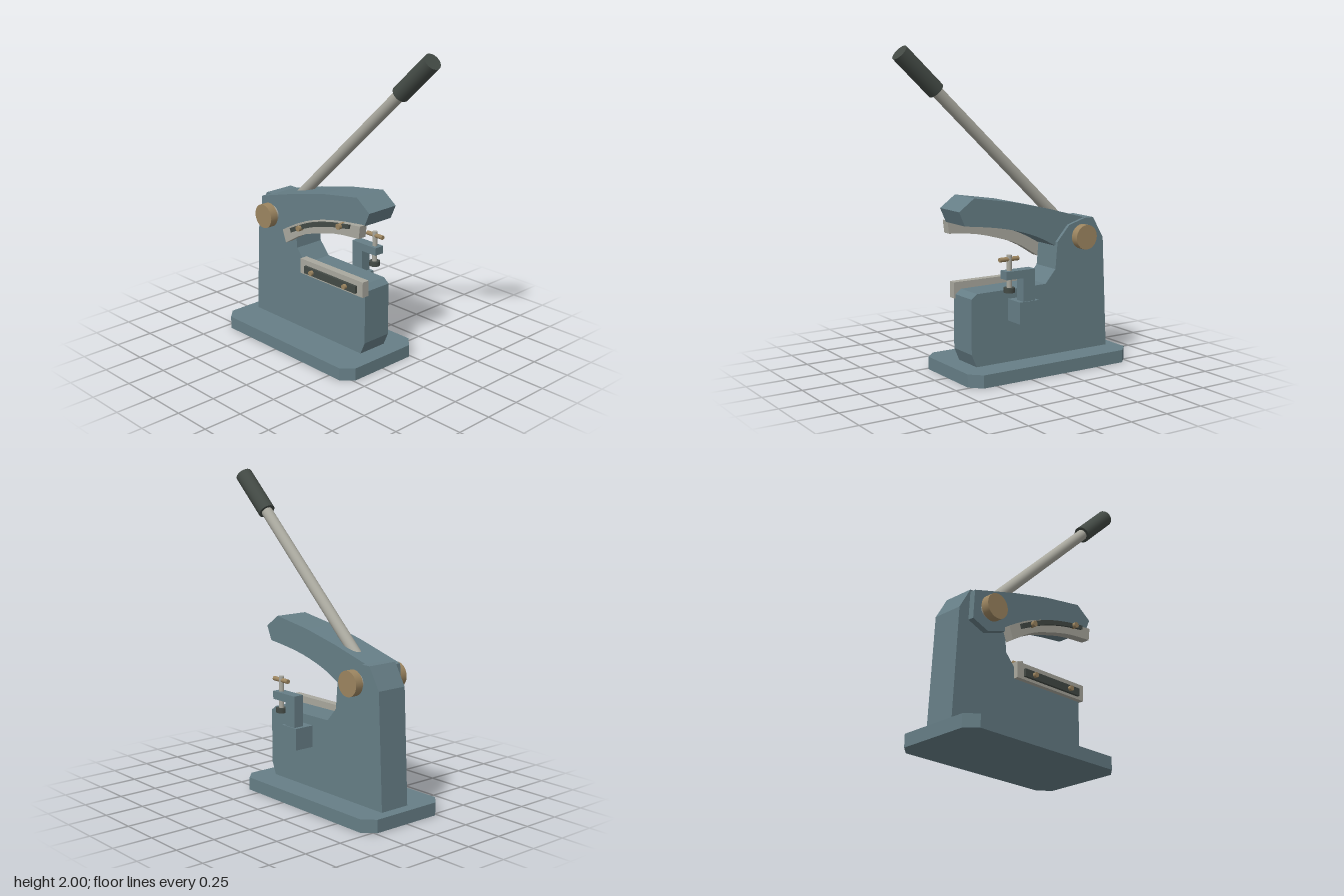
import * as THREE from 'three';

const mat = (color) => new THREE.MeshStandardMaterial({ color });
const paint = mat(0x667e86);
const steel = mat(0xa9a89e);
const brass = mat(0x9c8560);
const dark = mat(0x434a45);

export function createModel() {
  const model = new THREE.Group();

  const add = (name, geometry, material) => {
    const mesh = new THREE.Mesh(geometry, material);
    mesh.name = name;
    model.add(mesh);
    return mesh;
  };

  // Side profile in x, y pushed from z0 to z1
  const plate = (name, points, z0, z1, material) => {
    const shape = new THREE.Shape(points.map(([x, y]) => new THREE.Vector2(x, y)));
    const geometry = new THREE.ExtrudeGeometry(shape, { depth: z1 - z0, bevelEnabled: false });
    return add(name, geometry.translate(0, 0, z0), material);
  };

  const box = (name, x0, x1, y0, y1, z0, z1, material) => {
    const geometry = new THREE.BoxGeometry(x1 - x0, y1 - y0, z1 - z0);
    return add(name, geometry.translate((x0 + x1) / 2, (y0 + y1) / 2, (z0 + z1) / 2), material);
  };

  // Round bar between two points
  const bar = (name, a, b, radius, material, sides = 24) => {
    const from = new THREE.Vector3(...a);
    const to = new THREE.Vector3(...b);
    const dir = to.clone().sub(from);
    const mesh = add(name, new THREE.CylinderGeometry(radius, radius, dir.length(), sides), material);
    mesh.position.copy(from).add(to).multiplyScalar(0.5);
    mesh.quaternion.setFromUnitVectors(new THREE.Vector3(0, 1, 0), dir.normalize());
    return mesh;
  };

  // Base plate with cut corners
  const base = plate('basePlate', [
    [-0.70, -0.305], [0.34, -0.305], [0.41, -0.235], [0.41, 0.235],
    [0.34, 0.305], [-0.70, 0.305], [-0.77, 0.235], [-0.77, -0.235],
  ], 0, 0.08, paint);
  base.rotation.x = -Math.PI / 2;

  // Upright frame with the open throat
  plate('frame', [
    [-0.70, 0.08], [0.285, 0.08], [0.32, 0.16], [0.32, 0.50], [0.28, 0.53],
    [-0.22, 0.535], [-0.295, 0.62], [-0.31, 0.79], [-0.40, 0.89],
    [-0.52, 0.925], [-0.585, 0.925], [-0.665, 0.79],
  ], -0.135, 0.07, paint);

  // Curved edges shared by the arm, upper blade and its strip
  const bladeTop = [[-0.345, 0.75], [-0.19, 0.833], [-0.02, 0.89], [0.15, 0.925], [0.35, 0.95]];
  const bladeBottom = [[-0.315, 0.67], [-0.16, 0.762], [0, 0.815], [0.16, 0.853], [0.34, 0.87]];
  const smooth = (points, n = 10) =>
    new THREE.SplineCurve(points.map(([x, y]) => new THREE.Vector2(x, y)))
      .getPoints(n).map((p) => [p.x, p.y]);

  // Swinging arm
  plate('arm', [
    [-0.595, 0.73], [-0.48, 0.685], [-0.345, 0.725],
    ...smooth(bladeTop.map(([x, y]) => [x, y - 0.008])),
    [0.39, 1.03], [0.285, 1.105], [0, 1.06], [-0.26, 1.0], [-0.585, 0.91],
  ], -0.113, 0.11, paint);

  // Upper blade, its clamping strip and screws
  plate('upperBlade', [...smooth(bladeBottom), ...smooth(bladeTop).reverse()], 0.09, 0.147, steel);
  plate('upperStrip', [
    ...smooth([[-0.25, 0.758], [-0.08, 0.835], [0.09, 0.885], [0.267, 0.916]], 8),
    ...smooth([[0.27, 0.942], [0.09, 0.913], [-0.09, 0.863], [-0.26, 0.785]], 8),
  ], 0.147, 0.162, dark);
  for (const [x, y] of [[-0.165, 0.81], [0.195, 0.917]]) {
    bar('upperScrew', [x, y, 0.13], [x, y, 0.182], 0.018, brass, 16);
  }

  // Lower blade, its clamping strip and screws
  box('lowerBlade', -0.23, 0.33, 0.475, 0.575, 0.05, 0.1, steel);
  box('lowerStrip', -0.18, 0.28, 0.492, 0.54, 0.1, 0.117, dark);
  for (const x of [-0.105, 0.195]) {
    bar('lowerScrew', [x, 0.516, 0.09], [x, 0.516, 0.136], 0.016, brass, 16);
  }

  // Pivot pin with a cap on each end
  bar('pivotPin', [-0.48, 0.815, -0.17], [-0.48, 0.815, 0.15], 0.055, steel);
  for (const [z0, z1] of [[-0.212, -0.16], [0.138, 0.192]]) {
    bar('pivotCap', [-0.48, 0.815, z0], [-0.48, 0.815, z1], 0.078, brass, 28);
  }

  // Lever and grip
  bar('leverRod', [-0.37, 0.933, -0.03], [0.52, 1.768, -0.03], 0.036, steel);
  bar('leverGrip', [0.492, 1.742, -0.03], [0.728, 1.963, -0.03], 0.054, dark);

  // Hold-down clamp on the rear face
  box('clampBlock', -0.08, 0.06, 0.34, 0.475, -0.265, -0.13, paint);
  plate('clampBracket', [
    [-0.055, 0.47], [0.03, 0.47], [0.03, 0.62], [0.15, 0.62], [0.15, 0.67], [-0.055, 0.67],
  ], -0.258, -0.19, paint);
  bar('clampScrew', [0.11, 0.55, -0.224], [0.11, 0.765, -0.224], 0.016, steel, 16);
  bar('clampFoot', [0.11, 0.537, -0.224], [0.11, 0.567, -0.224], 0.034, dark);
  bar('clampHandle', [0.045, 0.74, -0.224], [0.18, 0.74, -0.224], 0.014, brass, 16);

  return model;
}
